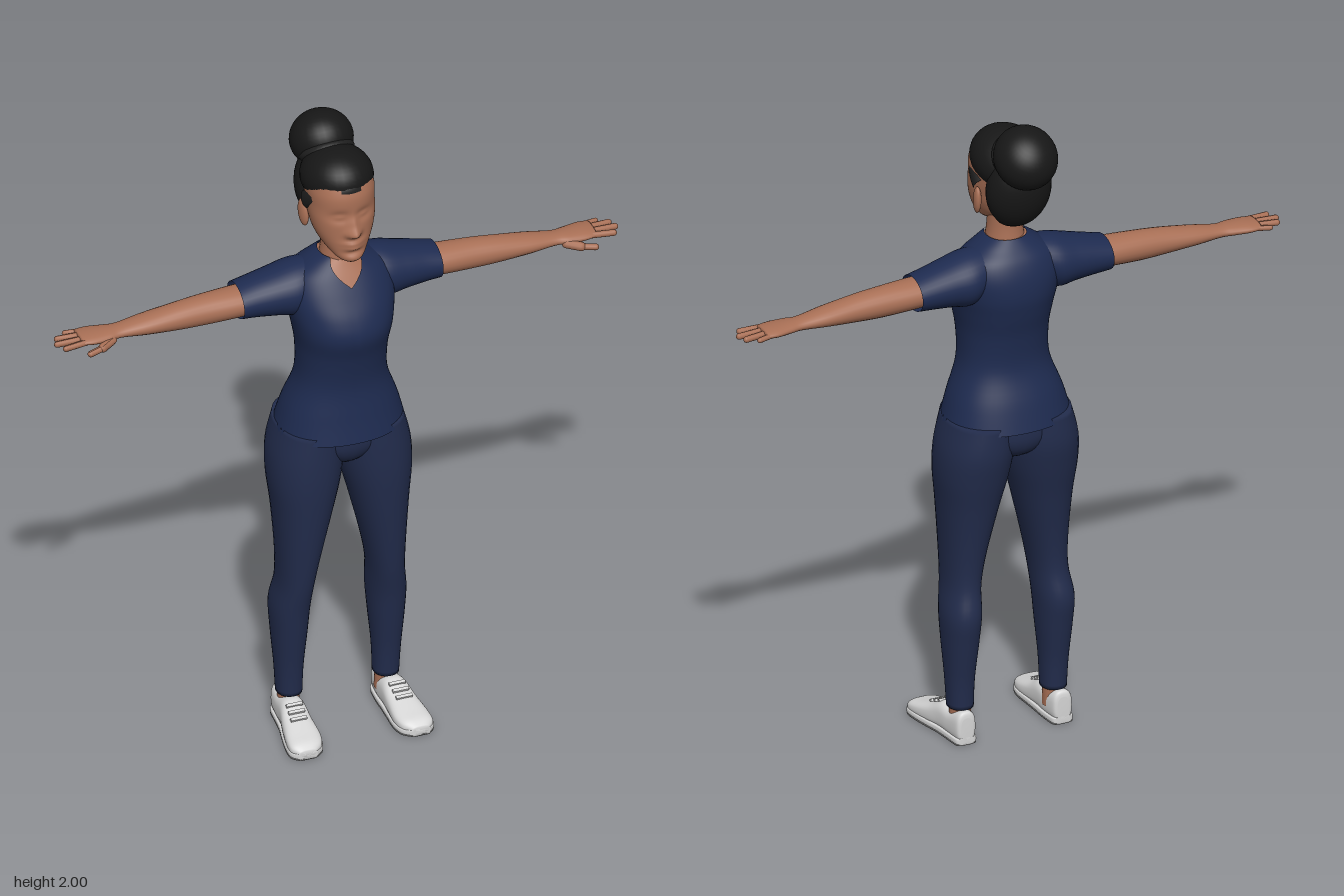
import * as THREE from 'three';

const mat = (name, color, side = THREE.FrontSide) => {
  const m = new THREE.MeshStandardMaterial({ color, side });
  m.name = name;
  return m;
};

// Smooth skin over oval sections [s, x0, x1, z0, z1] stacked along y.
// power < 1 squares the oval; end(t) trims the top edge by angle (t = 0 is +z).
function loft(rings, { n = 32, steps = 5, power = 1, cap = true, end = () => 1 } = {}) {
  const spans = rings.length - 1, m = spans * steps;
  const at = (u) => {
    const f = Math.min(u * spans, spans - 1e-6), i = Math.floor(f), t = f - i;
    const p = [i - 1, i, i + 1, i + 2].map((k) => rings[Math.max(0, Math.min(spans, k))]);
    return p[1].map((b, k) => {
      const a = p[0][k], c = p[2][k], d = p[3][k];
      return b + 0.5 * t * (c - a + t * (2 * a - 5 * b + 4 * c - d + t * (3 * (b - c) + d - a)));
    });
  };
  const bend = (v) => Math.sign(v) * Math.abs(v) ** power;
  const pos = [], idx = [];
  for (let i = 0; i <= m; i++) for (let j = 0; j < n; j++) {
    const t = (j / n) * Math.PI * 2;
    const [y, x0, x1, z0, z1] = at((i / m) * end(Math.min(t, Math.PI * 2 - t)));
    pos.push((x0 + x1 + (x1 - x0) * bend(Math.sin(t))) / 2, y, (z0 + z1 + (z1 - z0) * bend(Math.cos(t))) / 2);
  }
  for (let i = 0; i < m; i++) for (let j = 0; j < n; j++) {
    const k = (j + 1) % n, a = i * n + j, b = i * n + k;
    idx.push(a, b, b + n, a, b + n, a + n);
  }
  if (cap) for (const i of [0, m]) {
    const [y, x0, x1, z0, z1] = rings[i ? spans : 0], c = pos.length / 3;
    pos.push((x0 + x1) / 2, y, (z0 + z1) / 2);
    for (let j = 0; j < n; j++) {
      const a = i * n + j, b = i * n + ((j + 1) % n);
      idx.push(...(i ? [a, b, c] : [b, a, c]));
    }
  }
  const g = new THREE.BufferGeometry();
  g.setAttribute('position', new THREE.Float32BufferAttribute(pos, 3));
  g.setIndex(idx);
  g.computeVertexNormals();
  return g;
}

const sym = (rows) => rows.map(([y, w, z0, z1]) => [y, -w, w, z0, z1]);
// Sections along x: [x, bottom, top, z0, z1]
const loftX = (rows, opt) => loft(rows.map(([x, b, t, z0, z1]) => [x, -t, -b, z0, z1]), opt).rotateZ(-Math.PI / 2);
// Sections along z: [z, x0, x1, bottom, top]
const loftZ = (rows, opt) => loft(rows.map(([z, x0, x1, b, t]) => [z, x0, x1, -t, -b]), opt).rotateX(Math.PI / 2);

const ball = (rx, ry, rz) => new THREE.SphereGeometry(1, 32, 22).scale(rx, ry, rz);

function rod(a, b, r) {
  const p = new THREE.Vector3(...a), q = new THREE.Vector3(...b), d = q.clone().sub(p);
  const turn = new THREE.Quaternion().setFromUnitVectors(new THREE.Vector3(0, 1, 0), d.clone().normalize());
  return new THREE.CapsuleGeometry(r, d.length() - r, 4, 10).applyQuaternion(turn)
    .translate(...p.add(q).multiplyScalar(0.5).toArray());
}

function mirrored(geo) {
  const g = geo.clone().scale(-1, 1, 1), ix = g.index.array;
  for (let i = 0; i < ix.length; i += 3) [ix[i], ix[i + 1]] = [ix[i + 1], ix[i]];
  g.computeVertexNormals();
  return g;
}

export function createModel() {
  const skin = mat('skin', 0xa86f55);
  const top = mat('navy top', 0x1e2b50, THREE.DoubleSide);
  const trousers = mat('navy trousers', 0x222c4c, THREE.DoubleSide);
  const hair = mat('black hair', 0x171717);
  const band = mat('headband', 0x1f1f1f);
  const shoe = mat('white shoe', 0xd6d6d6);
  const sole = mat('grey sole', 0x8c8c8c);

  const model = new THREE.Group();
  const add = (name, geo, m) => {
    const mesh = new THREE.Mesh(geo, m);
    mesh.name = name;
    model.add(mesh);
  };
  const pair = (name, geo, m) => {
    add(name + 'Left', geo, m);
    add(name + 'Right', mirrored(geo), m);
  };

  // Tunic with a V neckline, and the skin showing in the V
  const torso = [
    [1.02, 0.195, -0.15, 0.165], [1.1, 0.173, -0.128, 0.152], [1.2, 0.138, -0.095, 0.142],
    [1.3, 0.135, -0.1, 0.158], [1.38, 0.147, -0.118, 0.18], [1.44, 0.158, -0.128, 0.167],
    [1.5, 0.163, -0.123, 0.135], [1.55, 0.145, -0.105, 0.105], [1.585, 0.1, -0.078, 0.083],
    [1.61, 0.06, -0.056, 0.068],
  ];
  const vNeck = (t) => 1 - 0.27 * Math.max(0, 1 - t / 0.75);
  add('tunic', loft(sym(torso), { n: 64, power: 0.9, cap: false, end: vNeck }), top);
  const inset = torso.slice(5).map(([y, w, a, b]) => [y - 0.004, w - 0.004, a + 0.004, b - 0.004]);
  add('neckline', loft(sym(inset), { n: 64, power: 0.9 }), skin);
  pair('sleeve', loftX([
    [0.09, 1.45, 1.583, -0.085, 0.065], [0.14, 1.415, 1.58, -0.1, 0.078],
    [0.2, 1.422, 1.565, -0.094, 0.07], [0.26, 1.428, 1.55, -0.088, 0.06], [0.312, 1.432, 1.537, -0.084, 0.055],
  ], { cap: false }), top);

  // Arms and hands
  pair('arm', loftX([
    [0.24, 1.442, 1.53, -0.07, 0.045], [0.32, 1.438, 1.528, -0.068, 0.045], [0.42, 1.434, 1.523, -0.062, 0.038],
    [0.5, 1.436, 1.515, -0.057, 0.035], [0.6, 1.443, 1.5, -0.054, 0.03], [0.68, 1.45, 1.486, -0.046, 0.02],
    [0.72, 1.45, 1.485, -0.052, 0.028], [0.77, 1.452, 1.484, -0.062, 0.03], [0.805, 1.457, 1.48, -0.06, 0.024],
  ], { n: 24 }), skin);
  const fingers = [
    [-0.05, 0.835, -0.06, 0.008], [-0.029, 0.868, -0.037, 0.0095],
    [-0.007, 0.878, -0.009, 0.0095], [0.014, 0.862, 0.022, 0.0095],
  ];
  for (const [z, x1, z1, r] of fingers) pair('finger', rod([0.785, 1.468, z], [x1, 1.465, z1], r), skin);
  pair('thumb', rod([0.705, 1.46, 0.014], [0.755, 1.452, 0.042], 0.014), skin);
  pair('thumbTip', rod([0.748, 1.453, 0.039], [0.795, 1.447, 0.05], 0.01), skin);

  // Trousers
  add('hips', loft(sym([
    [0.9, 0.03, -0.05, 0.07], [0.935, 0.1, -0.11, 0.115], [0.98, 0.17, -0.132, 0.135], [1.04, 0.185, -0.13, 0.135],
  ])), trousers);
  pair('trouserLeg', loft([
    [0.105, 0.113, 0.19, -0.046, 0.042], [0.2, 0.11, 0.195, -0.053, 0.05], [0.32, 0.1, 0.204, -0.073, 0.068],
    [0.41, 0.094, 0.207, -0.085, 0.082], [0.5, 0.088, 0.195, -0.067, 0.1], [0.6, 0.07, 0.196, -0.072, 0.114],
    [0.75, 0.034, 0.206, -0.097, 0.131], [0.86, 0.007, 0.217, -0.122, 0.14],
    [0.95, -0.004, 0.213, -0.138, 0.141], [1.04, 0, 0.19, -0.135, 0.138],
  ], { power: 0.92 }), trousers);

  // Shoes
  pair('ankle', new THREE.CylinderGeometry(0.032, 0.034, 0.09, 20).translate(0.152, 0.09, -0.004), skin);
  const foot = [
    [-0.062, 0.138, 0.176, 0.015, 0.085], [-0.052, 0.126, 0.188, 0.004, 0.105], [0, 0.12, 0.194, 0.004, 0.094],
    [0.05, 0.119, 0.2, 0.004, 0.1], [0.1, 0.117, 0.211, 0.004, 0.076], [0.16, 0.115, 0.222, 0.004, 0.057],
    [0.2, 0.126, 0.222, 0.004, 0.046], [0.222, 0.152, 0.202, 0.01, 0.03],
  ];
  pair('shoe', loftZ(foot, { power: 0.75 }), shoe);
  pair('shoeRim', loftZ(foot.map(([z, a, b]) => [z, a - 0.003, b + 0.003, 0.003, 0.024]), { power: 0.4 }), shoe);
  pair('sole', loftZ(foot.map(([z, a, b]) => [z, a - 0.002, b + 0.002, 0, 0.005]), { power: 0.4 }), sole);
  for (let i = 0; i < 3; i++) {
    pair('lace', new THREE.BoxGeometry(0.05, 0.008, 0.01).rotateX(0.42)
      .translate(0.161 + i * 0.002, 0.094 - i * 0.01, 0.068 + i * 0.023), shoe);
  }

  // Neck and head; the face is shaped by soft bumps [x, y, depth, width, height]
  add('neck', loft(sym([
    [1.55, 0.066, -0.056, 0.06], [1.6, 0.057, -0.05, 0.068], [1.65, 0.052, -0.046, 0.064], [1.73, 0.052, -0.05, 0.06],
  ])), skin);
  const head = loft(sym([
    [1.631, 0.022, 0.075, 0.128], [1.645, 0.045, 0.03, 0.138], [1.68, 0.072, -0.03, 0.134],
    [1.72, 0.09, -0.055, 0.13], [1.76, 0.098, -0.07, 0.128], [1.8, 0.1, -0.09, 0.126],
    [1.85, 0.1, -0.1, 0.122], [1.9, 0.085, -0.09, 0.095], [1.93, 0.04, -0.05, 0.04],
  ]), { n: 72, steps: 8, power: 0.93 });
  const bumps = [
    [0, 1.733, 0.026, 0.011, 0.012], [0, 1.762, 0.011, 0.009, 0.018],
    [0.015, 1.729, 0.009, 0.008, 0.008], [-0.015, 1.729, 0.009, 0.008, 0.008],
    [0.037, 1.783, -0.012, 0.02, 0.012], [-0.037, 1.783, -0.012, 0.02, 0.012],
    [0.037, 1.782, 0.007, 0.012, 0.006], [-0.037, 1.782, 0.007, 0.012, 0.006],
    [0, 1.697, 0.011, 0.02, 0.006], [0, 1.682, 0.011, 0.017, 0.006],
    [0, 1.665, -0.005, 0.02, 0.006], [0, 1.647, 0.004, 0.02, 0.01],
  ];
  const p = head.attributes.position;
  for (let i = 0; i < p.count; i++) {
    if (p.getZ(i) < 0.04) continue;
    let z = p.getZ(i);
    for (const [x, y, d, w, h] of bumps) {
      z += d * Math.exp(-(((p.getX(i) - x) / w) ** 2 + ((p.getY(i) - y) / h) ** 2) / 2);
    }
    p.setZ(i, z);
  }
  head.computeVertexNormals();
  add('head', head, skin);
  pair('ear', ball(0.012, 0.044, 0.022).rotateX(-0.15).rotateY(-0.25).translate(0.101, 1.742, -0.014), skin);

  // Hair, headband and bun
  add('crownHair', ball(0.107, 0.088, 0.123).rotateX(-0.2).translate(0, 1.857, -0.006), hair);
  add('backHair', ball(0.1, 0.128, 0.08).rotateX(-0.2).translate(0, 1.79, -0.082), hair);
  add('napeHair', ball(0.068, 0.05, 0.045).translate(0, 1.71, -0.062), hair);
  add('headband', new THREE.TorusGeometry(1, 0.2, 12, 48, Math.PI).scale(0.091, 0.128, 0.15)
    .rotateX(0.927).translate(0, 1.787, -0.01), band);
  add('bun', ball(0.095, 0.088, 0.1).rotateX(-0.6).translate(0, 1.908, -0.128), hair);
  add('bunBase', new THREE.TorusGeometry(0.066, 0.018, 10, 32).rotateX(Math.PI / 2 - 0.7).translate(0, 1.888, -0.085), band);
  return model;
}
